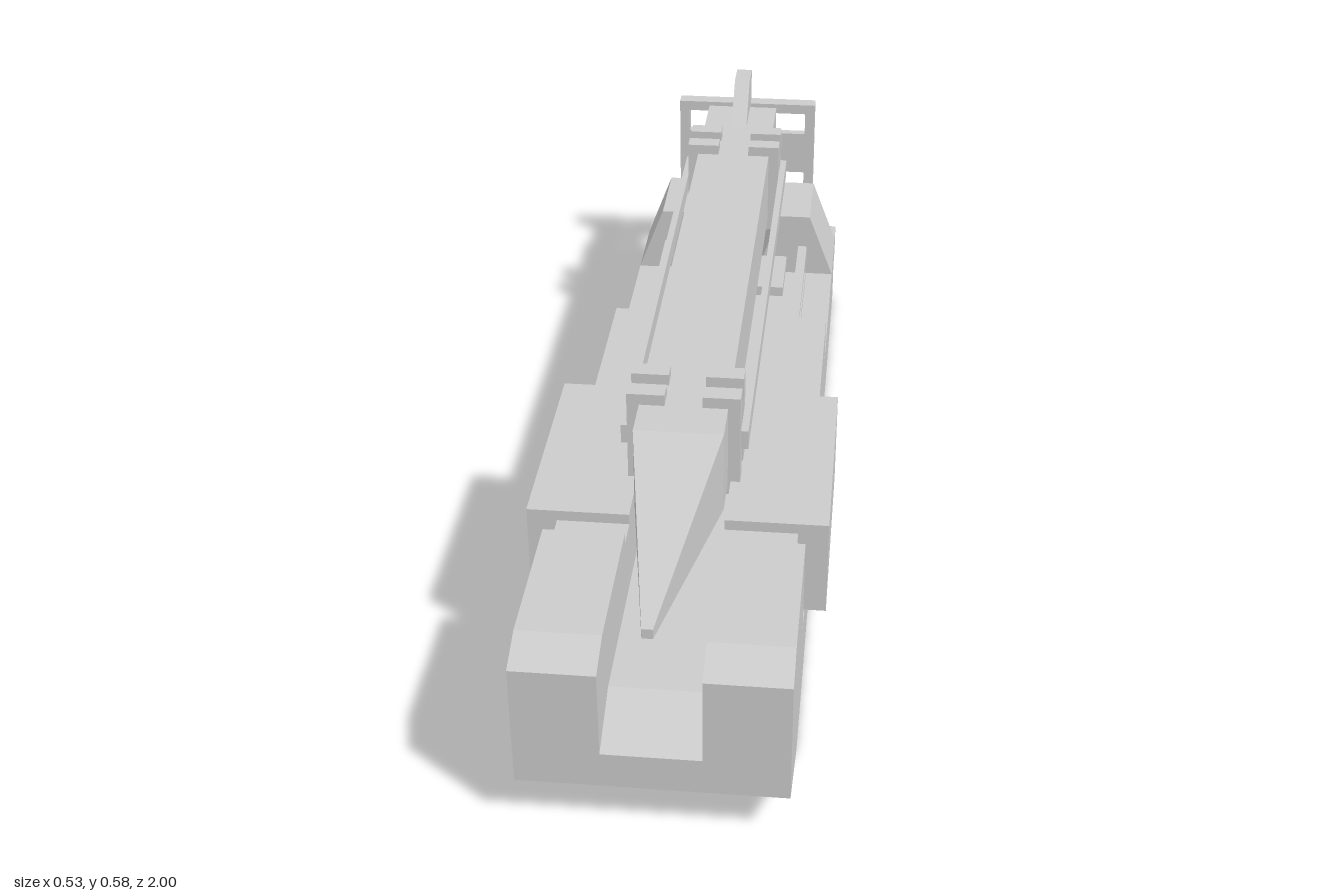
import * as THREE from 'three';

const mat = new THREE.MeshStandardMaterial({ color: 0xcccccc, flatShading: true });

export function createModel() {
  const root = new THREE.Group();
  root.name = 'missileCarrier';

  const add = (name, geo) => {
    const mesh = new THREE.Mesh(geo, mat);
    mesh.name = name;
    root.add(mesh);
    return mesh;
  };
  // Box given by its limits on each axis
  const box = (name, x0, x1, y0, y1, z0, z1) => add(name,
    new THREE.BoxGeometry(x1 - x0, y1 - y0, z1 - z0)
      .translate((x0 + x1) / 2, (y0 + y1) / 2, (z0 + z1) / 2));
  const toShape = pts => new THREE.Shape(pts.map(p => new THREE.Vector2(...p)));
  // Side profile in (z, y), extruded from x0 to x1
  const slab = (name, x0, x1, pts, hole) => {
    const shape = toShape(pts);
    if (hole) shape.holes.push(toShape(hole));
    return add(name, new THREE.ExtrudeGeometry(shape, { depth: x1 - x0, bevelEnabled: false })
      .rotateY(-Math.PI / 2).translate(x1, 0, 0));
  };
  // Run for both sides; span() mirrors an x range
  const bothSides = build => {
    for (const [side, s] of [['left', 1], ['right', -1]]) {
      build(side, (a, b) => (s > 0 ? [a, b] : [-b, -a]), s);
    }
  };

  // Front hull: raised sides around a central channel
  slab('frontHullChannel', -0.083, 0.083, [[0.99, 0.095], [0.99, 0.163], [0.88, 0.21],
    [0.18, 0.21], [0.18, 0.165], [0.09, 0.09], [0.09, 0], [0.775, 0]]);
  // Rear hull: channel strip, then a low deck
  slab('rearHullChannel', -0.083, 0.083, [[0.075, 0], [0.075, 0.1], [0.155, 0.165],
    [0.155, 0.235], [-0.26, 0.235], [-0.26, 0.165], [-0.83, 0.165], [-0.83, 0]]);
  box('rearBumper', -0.225, 0.225, 0.095, 0.165, -0.895, -0.83);

  bothSides((side, span, s) => {
    slab(side + 'FrontHull', ...span(0.083, 0.225), [[0.99, 0.095], [0.99, 0.325], [0.92, 0.35],
      [0.65, 0.35], [0.65, 0.165], [0.18, 0.165], [0.09, 0.09], [0.09, 0], [0.775, 0]]);
    box(side + 'Neck', ...span(0.083, 0.21), 0.16, 0.33, 0.59, 0.655);
    box(side + 'SidePod', ...span(0.083, 0.263), 0.165, 0.35, 0.18, 0.595);
    slab(side + 'RearHull', ...span(0.083, 0.225), [[0.075, 0], [0.075, 0.1], [0.155, 0.165],
      [0.155, 0.27], [-0.26, 0.27], [-0.26, 0.165], [-0.83, 0.165], [-0.83, 0]]);

    // Deck rail with a long window
    slab(side + 'DeckRail', ...span(0.145, 0.165),
      [[-0.26, 0.165], [-0.26, 0.235], [-0.65, 0.235], [-0.65, 0.165]],
      [[-0.285, 0.18], [-0.285, 0.22], [-0.625, 0.22], [-0.625, 0.18]]);

    // Rear fender with sloping flanks
    const fender = toShape([[0.05, 0.165], [0.225, 0.165], [0.17, 0.31], [0.1, 0.31]]
      .map(([x, y]) => [x * s, y]));
    add(side + 'RearFender', new THREE.ExtrudeGeometry(fender, { depth: 0.18, bevelEnabled: false })
      .translate(0, 0, -0.83));

    // Missile side bar and clamps
    box(side + 'SideBar', ...span(0.1, 0.113), 0.413, 0.45, -0.653, 0.466);
    for (const z of [0.46, 0.392, -0.576, -0.647]) {
      box(side + 'ClampArm', ...span(0.078, 0.1), 0.323, 0.523, z - 0.018, z + 0.018);
      box(side + 'ClampTopTab', ...span(0.033, 0.08), 0.5, 0.523, z - 0.018, z + 0.018);
      box(side + 'ClampBottomTab', ...span(0.033, 0.08), 0.322, 0.347, z - 0.018, z + 0.018);
    }

    // Bent post of the rear frame
    slab(side + 'FramePost', ...span(0.14, 0.163), [[-0.845, 0.165], [-0.845, 0.187],
      [-0.967, 0.228], [-0.967, 0.45], [-1, 0.45], [-1, 0.205], [-0.87, 0.165]]);
  });

  // Rear frame cross pieces
  box('frameTopBar', -0.14, 0.14, 0.427, 0.45, -1, -0.967);
  box('framePanel', -0.14, 0.14, 0.27, 0.372, -0.993, -0.973);
  box('frameBottomBar', -0.14, 0.14, 0.165, 0.188, -0.87, -0.847);

  // Pedestal under the missile
  box('pedestalPlate', -0.12, 0.12, 0.195, 0.217, -0.63, -0.48);
  box('pedestalPost', -0.025, 0.025, 0.165, 0.32, -0.635, -0.59);
  box('pedestalCradle', -0.0625, 0.0625, 0.315, 0.352, -0.67, -0.555);

  // Missile: square body and tapering nose
  box('missileBody', -0.078, 0.078, 0.347, 0.502, -0.825, 0.56);
  add('missileNose', new THREE.CylinderGeometry(0.009 * Math.SQRT2, 0.078 * Math.SQRT2, 0.44, 4)
    .rotateY(Math.PI / 4).rotateX(Math.PI / 2).translate(0, 0.425, 0.78));

  // Tail fins above and below the body
  const fin = [[-0.7, 0.07], [-0.8, 0.153], [-0.865, 0.153], [-0.865, 0.085], [-0.82, 0.07]];
  slab('topFin', -0.017, 0.017, fin.map(([z, h]) => [z, 0.425 + h]));
  slab('bottomFin', -0.017, 0.017, fin.map(([z, h]) => [z, 0.425 - h]));

  return root;
}
